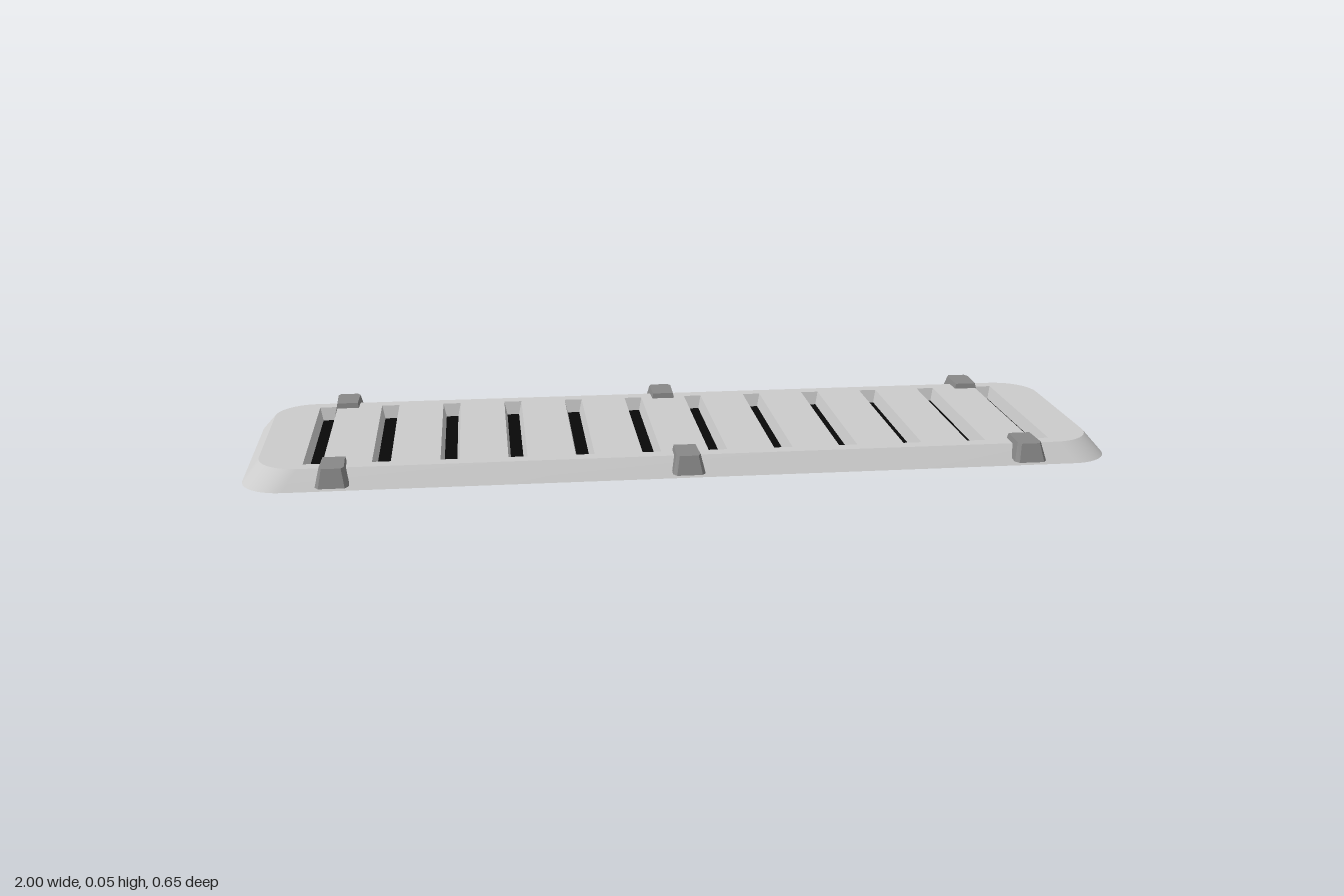
import * as THREE from 'three';
import { toCreasedNormals } from 'three/addons/utils/BufferGeometryUtils.js';

const HEIGHT = 0.043, RADIUS = 0.095;
const SLOTS = 12, SLOT_PITCH = 0.1527, SLOT_FLOOR = 0.012;

const slotX = (i) => (i - (SLOTS - 1) / 2) * SLOT_PITCH;

// Rounded rectangle as [x, z] points
function roundedRect(hx, hz, r, steps = 10) {
  const pts = [];
  [[1, 1], [-1, 1], [-1, -1], [1, -1]].forEach(([sx, sz], q) => {
    for (let i = 0; i <= steps; i++) {
      const a = (q + i / steps) * Math.PI / 2;
      pts.push([sx * (hx - r) + r * Math.cos(a), sz * (hz - r) + r * Math.sin(a)]);
    }
  });
  return pts;
}

const rect = (hx, hz) => [[hx, hz], [-hx, hz], [-hx, -hz], [hx, -hz]];

// Open band of wall between an upper and a lower outline
function wall(top, yTop, bottom, yBottom) {
  const n = top.length, pos = [], index = [];
  top.forEach(([x, z]) => pos.push(x, yTop, z));
  bottom.forEach(([x, z]) => pos.push(x, yBottom, z));
  for (let i = 0; i < n; i++) {
    const j = (i + 1) % n;
    index.push(i, j, n + j, i, n + j, n + i);
  }
  const geo = new THREE.BufferGeometry();
  geo.setAttribute('position', new THREE.Float32BufferAttribute(pos, 3));
  geo.setIndex(index);
  return toCreasedNormals(geo, 0.5);
}

// Flat top sheet with the slot openings
function topGeometry(outline, opening) {
  const toV = ([x, z]) => new THREE.Vector2(x, -z);
  const shape = new THREE.Shape(outline.map(toV));
  for (let i = 0; i < SLOTS; i++) {
    shape.holes.push(new THREE.Path(opening.map(([x, z]) => toV([x + slotX(i), z]))));
  }
  const geo = new THREE.ShapeGeometry(shape);
  geo.rotateX(-Math.PI / 2);
  geo.translate(0, HEIGHT, 0);
  return geo;
}

// Clip over the +z edge: tapers upwards, with a sloped and chamfered outer end
function clipGeometry() {
  const y0 = 0.014, y1 = 0.055;
  const half = [[0.034, 0.208], [0.037, 0.311], [0.029, 0.323]];
  const outline = [...half, ...half.map(([x, z]) => [-x, z]).reverse()];
  const shape = new THREE.Shape(outline.map(([x, z]) => new THREE.Vector2(x, -z)));
  const geo = new THREE.ExtrudeGeometry(shape, { depth: y1 - y0, bevelEnabled: false });
  geo.rotateX(-Math.PI / 2);
  geo.translate(0, y0, 0);
  const p = geo.attributes.position;
  for (let i = 0; i < p.count; i++) {
    if (p.getY(i) < y1 - 0.001) continue;
    const z = p.getZ(i);
    p.setX(i, p.getX(i) * 0.74);
    p.setZ(i, z > 0.28 ? z - 0.016 : z + 0.012);
  }
  geo.computeVertexNormals();
  return geo;
}

export function createModel() {
  const group = new THREE.Group();
  const grey = new THREE.MeshStandardMaterial({ color: 0xcccccc, side: THREE.DoubleSide });
  const dark = new THREE.MeshStandardMaterial({ color: 0x888888 });
  const black = new THREE.MeshStandardMaterial({ color: 0x080808, side: THREE.DoubleSide });
  const add = (name, geo, mat, x = 0) => {
    const mesh = new THREE.Mesh(geo, mat);
    mesh.name = name;
    mesh.position.x = x;
    group.add(mesh);
    return mesh;
  };

  // Hollow cover, open underneath
  const topEdge = roundedRect(0.965, 0.263, RADIUS);
  const bottomEdge = roundedRect(1, 0.298, RADIUS);
  const opening = rect(0.0215, 0.23);
  add('topSheet', topGeometry(topEdge, opening), grey);
  add('flaredRim', wall(topEdge, HEIGHT, bottomEdge, 0), grey);

  // Tapered slot troughs with dark floors
  const trough = wall(opening, HEIGHT, rect(0.0145, 0.221), SLOT_FLOOR);
  const floor = new THREE.PlaneGeometry(0.029, 0.442);
  floor.rotateX(-Math.PI / 2);
  floor.translate(0, SLOT_FLOOR, 0);
  for (let i = 0; i < SLOTS; i++) {
    add('slotTrough', trough, grey, slotX(i));
    add('slotFloor', floor, black, slotX(i));
  }

  // Three clips along each long edge
  const clip = clipGeometry();
  for (const x of [-0.793, 0, 0.793]) {
    add('frontClip', clip, dark, x);
    add('backClip', clip, dark, x).rotation.y = Math.PI;
  }
  return group;
}
